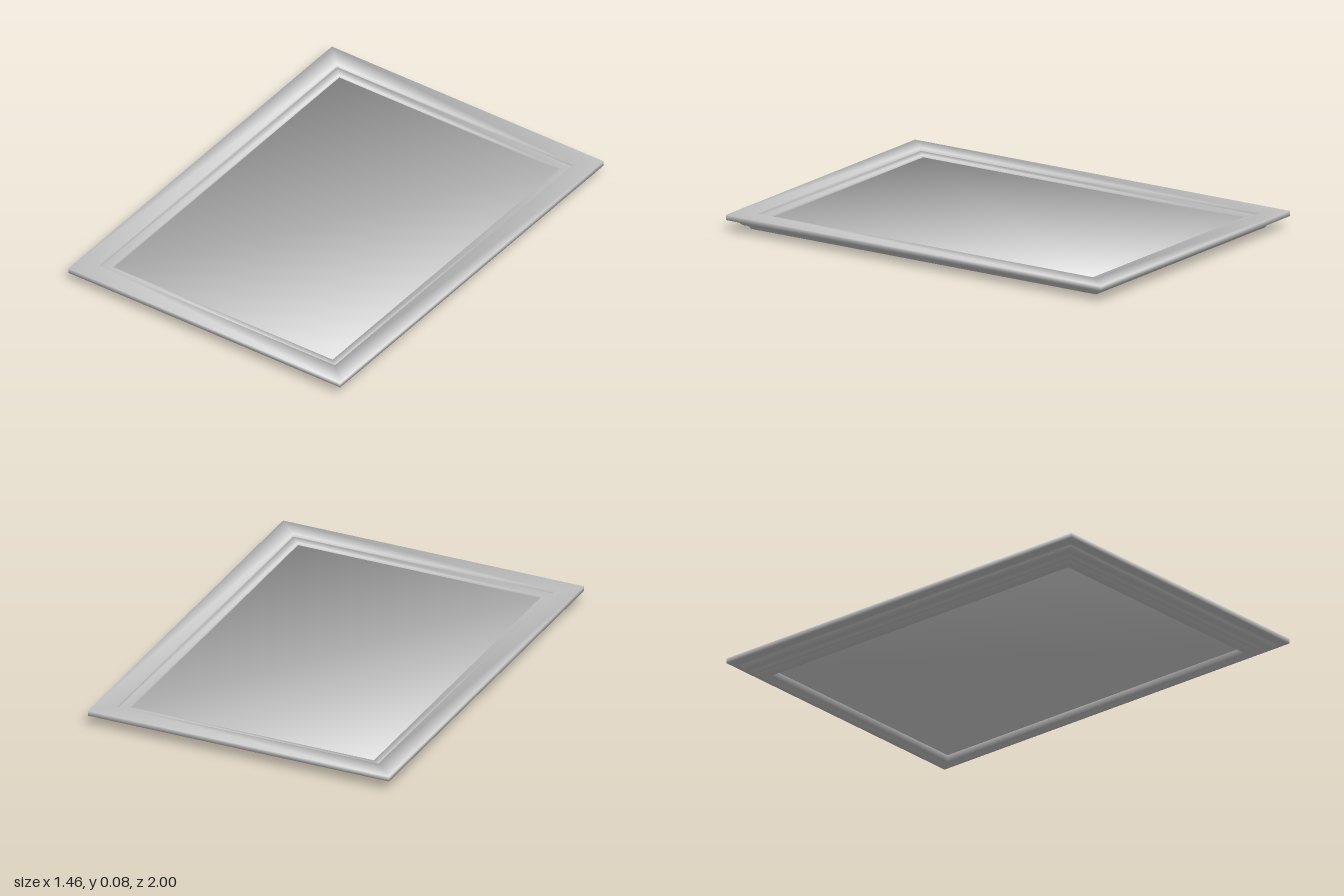
import * as THREE from 'three';
import { mergeVertices } from 'three/addons/utils/BufferGeometryUtils.js';

const HALF_W = 0.73, HALF_L = 1.0;
const material = new THREE.MeshStandardMaterial({ color: 0xcccccc });

// Sweeps a closed [inset, y] profile around the rectangle with mitred corners.
// Normals are the even average of the strips that meet at each corner.
function sweepFrame(profile) {
  const corners = [[1, 1], [1, -1], [-1, -1], [-1, 1]];
  const n = profile.length;
  const strips = profile.map(([inset, y], i) => {
    const [nextInset, nextY] = profile[(i + 1) % n];
    return new THREE.Vector2(y - nextY, inset - nextInset).normalize();
  });
  const positions = [], normals = [], index = [];
  profile.forEach(([inset, y], i) => {
    const out = strips[i].clone().add(strips[(i + n - 1) % n]);
    const normal = new THREE.Vector3(out.x, 2 * out.y, out.x).normalize();
    for (const [sx, sz] of corners) {
      positions.push(sx * (HALF_W - inset), y, sz * (HALF_L - inset));
      normals.push(sx * normal.x, normal.y, sz * normal.z);
    }
    const j = (i + 1) % n;
    for (let k = 0; k < 4; k++) {
      const m = (k + 1) % 4;
      const a = i * 4 + k, b = j * 4 + k, c = j * 4 + m, d = i * 4 + m;
      index.push(a, b, c, a, c, d);
    }
  });
  const geometry = new THREE.BufferGeometry();
  geometry.setAttribute('position', new THREE.Float32BufferAttribute(positions, 3));
  geometry.setAttribute('normal', new THREE.Float32BufferAttribute(normals, 3));
  geometry.setIndex(index);
  return geometry;
}

// A box with shared corners whose normals point diagonally outward.
function softBox(w, h, d) {
  const box = new THREE.BoxGeometry(w, h, d);
  box.deleteAttribute('normal');
  box.deleteAttribute('uv');
  const geometry = mergeVertices(box);
  const normals = Array.from(geometry.attributes.position.array, v => Math.sign(v) / Math.sqrt(3));
  geometry.setAttribute('normal', new THREE.Float32BufferAttribute(normals, 3));
  return geometry;
}

export function createModel() {
  const group = new THREE.Group();
  group.name = 'framedPanel';

  const add = (name, geometry) => {
    const mesh = new THREE.Mesh(geometry, material);
    mesh.name = name;
    group.add(mesh);
    return mesh;
  };

  // Outer moulding: top rim, lip, stepped cove below
  add('mouldedFrame', sweepFrame([
    [0.095, 0.078], [0, 0.078], [0, 0.055], [0.004, 0.053], [0.034, 0.051],
    [0.039, 0.048], [0.042, 0.043], [0.046, 0.034], [0.054, 0.028],
    [0.068, 0.024], [0.075, 0.018], [0.078, 0.010], [0.082, 0.008],
    [0.095, 0.008],
  ]));

  // Inner strip, one step below the rim, ending in a lip underneath
  add('innerStrip', sweepFrame([
    [0.138, 0.064], [0.094, 0.064], [0.094, 0.007], [0.134, 0.005], [0.138, 0],
  ]));

  // Thin panel recessed from both faces
  add('panel', softBox(1.188, 0.018, 1.728)).position.y = 0.043;

  return group;
}
